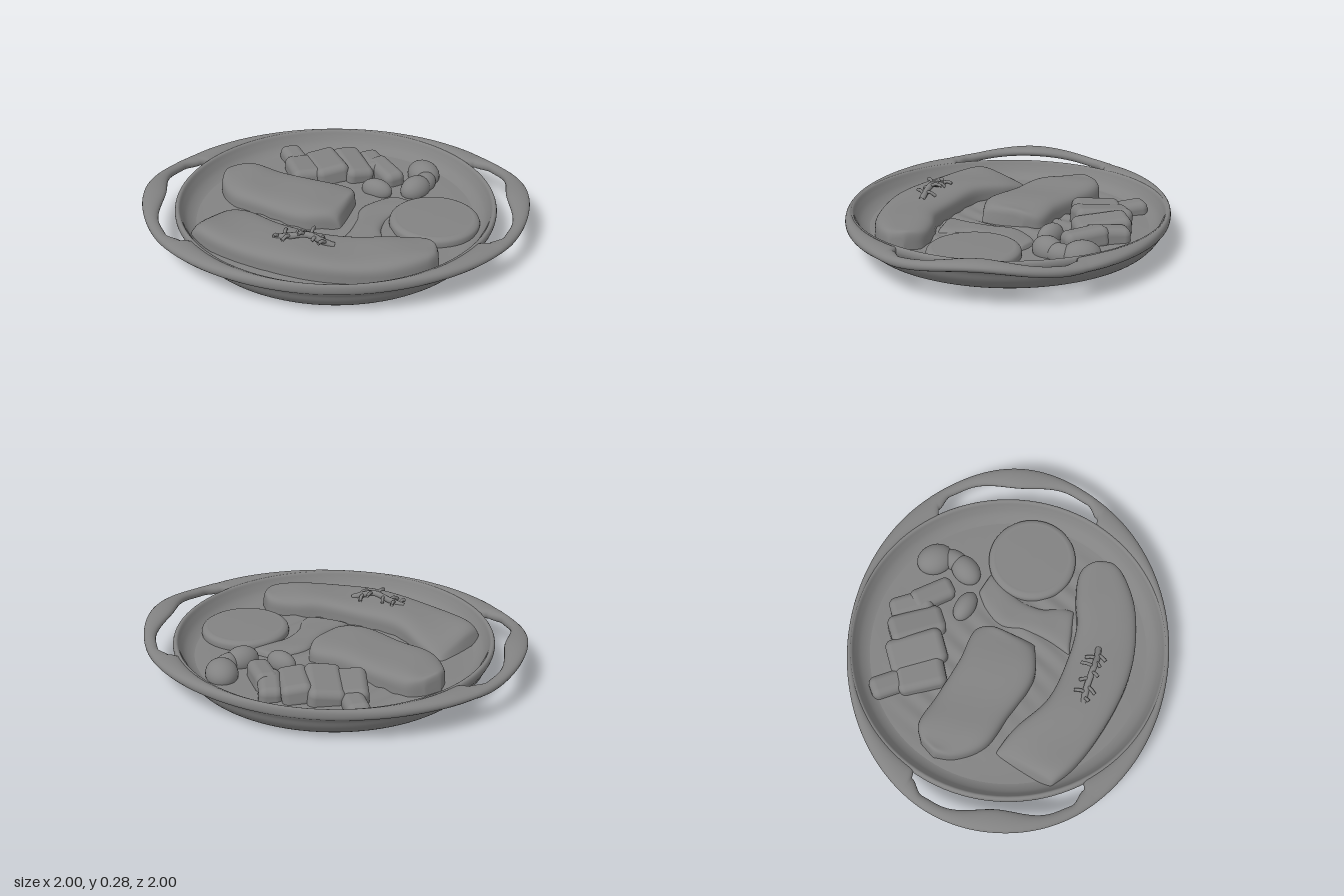
import * as THREE from 'three';
import { mergeVertices } from 'three/addons/utils/BufferGeometryUtils.js';
import { RoundedBoxGeometry } from 'three/addons/geometries/RoundedBoxGeometry.js';

const grey = new THREE.MeshStandardMaterial({ color: 0x828282, side: THREE.DoubleSide });
const V = (x, y, z) => new THREE.Vector3(x, y, z);

// Smooth surface from fn(u, v), u and v in 0..1
function surface(fn, nu, nv) {
  const pos = [], index = [];
  for (let i = 0; i <= nu; i++)
    for (let j = 0; j <= nv; j++) pos.push(...fn(i / nu, j / nv));
  for (let i = 0; i < nu; i++)
    for (let j = 0; j < nv; j++) {
      const a = i * (nv + 1) + j, b = a + nv + 1;
      index.push(a, b, a + 1, b, b + 1, a + 1);
    }
  let g = new THREE.BufferGeometry();
  g.setAttribute('position', new THREE.Float32BufferAttribute(pos, 3));
  g.setIndex(index);
  g = mergeVertices(g, 1e-5);
  g.computeVertexNormals();
  return g;
}

// Smoothstep interpolation through [position, value] keys
function keyed(keys, d) {
  for (let i = 1; i < keys.length; i++) {
    const [a, va] = keys[i - 1], [b, vb] = keys[i];
    if (d <= b) return va + (vb - va) * THREE.MathUtils.smoothstep(d, a, b);
  }
  return keys[keys.length - 1][1];
}

// Domed slab between two edges; stations are [leftX, leftZ, rightX, rightZ, leftRise, rightRise]
function slab(stations, base, height, power) {
  const left = new THREE.CatmullRomCurve3(stations.map(([x, z, , , rise = 1]) => V(x, rise, z)));
  const right = new THREE.CatmullRomCurve3(stations.map(([, , x, z, , rise = 1]) => V(x, rise, z)));
  return surface((u, v) => {
    const l = left.getPoint(u), r = right.getPoint(u);
    const c = -Math.cos(v * Math.PI), s = Math.max(0, Math.sin(v * Math.PI));
    const k = 0.5 + 0.5 * Math.sign(c) * Math.abs(c) ** 0.6;
    const end = Math.sqrt(Math.max(0, 1 - Math.abs(2 * u - 1) ** 18));
    const wave = (1 + 0.035 * Math.sin(u * 17 + k * 4)) * (l.y + (r.y - l.y) * k);
    return [l.x + (r.x - l.x) * k, base + height * end * wave * s ** power, l.z + (r.z - l.z) * k];
  }, 64, 28);
}

export function createModel() {
  const model = new THREE.Group();
  const add = (name, geometry, parent = model) => {
    const m = new THREE.Mesh(geometry, grey);
    m.name = name;
    parent.add(m);
    return m;
  };

  // Pan body: flat base, rounded wall, hollow inside
  const profile = new THREE.SplineCurve([
    [0.74, 0.002], [0.81, 0.025], [0.858, 0.075], [0.88, 0.12], [0.895, 0.145], [0.906, 0.175],
    [0.9, 0.199], [0.882, 0.2], [0.866, 0.17], [0.838, 0.13], [0.79, 0.1], [0.72, 0.088],
  ].map(p => new THREE.Vector2(...p))).getPoints(44);
  add('panBody', new THREE.LatheGeometry(
    [new THREE.Vector2(0, 0), new THREE.Vector2(0.7, 0), ...profile, new THREE.Vector2(0, 0.085)], 96));

  // Oval rim around the round pan, opened at both ends into raised loop handles with broad grips
  const inner = [[0, 0.96], [16, 1.002], [24, 0.99], [30, 0.935], [31.5, 0.885], [90, 0.88]];
  const level = [[0, 0.228], [28, 0.182], [90, 0.176]];
  const half = [[0, 0.028], [20, 0.026], [40, 0.032], [90, 0.031]];
  add('rimAndHandles', surface((u, v) => {
    const deg = u * 360, d = Math.abs(((deg + 45) % 180) - 90);
    const a = d * Math.PI / 180;
    const ro = 1 / Math.hypot(Math.cos(a) / 1.087, Math.sin(a) / 0.908), ri = keyed(inner, d);
    const t = u * Math.PI * 2, f = -v * Math.PI * 2;
    const r = (ro + ri) / 2 + (ro - ri) / 2 * Math.cos(f);
    const y = keyed(level, d) + keyed(half, d) * Math.sign(Math.sin(f)) * Math.abs(Math.sin(f)) ** 0.9;
    return [r * Math.cos(t), y, r * Math.sin(t)];
  }, 360, 20));

  // Rippled sauce floor
  add('sauce', surface((u, v) => {
    const r = u * 0.79, t = -v * Math.PI * 2, x = r * Math.cos(t), z = r * Math.sin(t);
    const fade = 1 - u ** 4;
    const y = 0.1 + fade * (0.006 * Math.sin(z * 55 + 2 * Math.sin(x * 5)) * Math.cos(x * 3) + 0.006 * Math.sin(x * 9 + z * 4));
    return [x, y, z];
  }, 60, 96));

  // Low bank of sauce between the fillets and the slice
  add('sauceFold', slab([
    [-0.08, 0.44, -0.26, 0.24], [-0.01, 0.39, -0.1, 0.2], [0.05, 0.31, 0.02, 0.14],
    [0.17, 0.25, 0.14, 0.06], [0.32, 0.24, 0.26, 0.06], [0.42, 0.23, 0.38, 0.1],
  ], 0.085, 0.04, 0.7));

  // Long curved fillet, sloping down at its back inner corner, and broad central fillet
  add('curvedFillet', slab([
    [-0.765, -0.37, -0.42, -0.475, 1.05, 0.35], [-0.77, -0.2, -0.385, -0.28, 1.04, 0.8], [-0.72, 0.06, -0.38, -0.03],
    [-0.61, 0.35, -0.28, 0.2], [-0.48, 0.54, -0.16, 0.38], [-0.29, 0.71, -0.03, 0.49],
    [-0.1, 0.79, 0.07, 0.62], [0, 0.79, 0.05, 0.74],
  ], 0.08, 0.13, 0.36));
  add('centralFillet', slab([
    [-0.21, -0.735, -0.11, -0.735], [-0.3, -0.65, -0.02, -0.68], [-0.36, -0.48, 0.04, -0.5],
    [-0.31, -0.27, 0.12, -0.26], [-0.235, -0.01, 0.2, -0.07], [-0.085, 0.13, 0.14, 0.02],
  ], 0.08, 0.125, 0.4));

  // Round vegetable slice
  const slice = new THREE.SplineCurve([
    [0.252, 0], [0.254, 0.03], [0.248, 0.05], [0.228, 0.062], [0.2, 0.063], [0.1, 0.066], [0, 0.067],
  ].map(p => new THREE.Vector2(...p))).getPoints(30);
  add('roundSlice', new THREE.LatheGeometry(slice, 56)).position.set(0.32, 0.085, 0.465);

  // Diced chunks in a staggered row: x, z, width, length, turn, top
  const chunks = new THREE.Group();
  chunks.name = 'dicedChunks';
  model.add(chunks);
  [
    [0.2, -0.48, 0.19, 0.28, -0.5, 0.18], [0.27, -0.63, 0.13, 0.26, -0.35, 0.165],
    [0.32, -0.41, 0.2, 0.33, -0.45, 0.195], [0.44, -0.31, 0.17, 0.32, -0.42, 0.19],
    [0.56, -0.25, 0.13, 0.25, -0.45, 0.18], [0.53, -0.12, 0.13, 0.26, -0.25, 0.185],
  ].forEach(([x, z, w, l, turn, top], i) => {
    const m = add('chunk', new RoundedBoxGeometry(w, top - 0.06, l, 5, 0.042), chunks);
    m.position.set(x, (top + 0.06) / 2, z);
    m.rotation.set(0.08 * (i % 2 ? 1 : -1), turn, 0.08 * (i % 3 - 1));
  });

  // Small mushroom lobes: x, z, half sizes, turn
  const lobes = new THREE.Group();
  lobes.name = 'mushrooms';
  model.add(lobes);
  [
    [0.355, -0.02, 0.058, 0.065, 0.095, 0.3], [0.525, 0.13, 0.1, 0.075, 0.075, 0],
    [0.695, 0.04, 0.09, 0.08, 0.11, -0.3], [0.62, 0.12, 0.09, 0.06, 0.06, 0.4],
  ].forEach(([x, z, a, b, c, turn]) => {
    const m = add('mushroomLobe', new THREE.SphereGeometry(1, 28, 18), lobes);
    m.scale.set(a, b, c);
    m.position.set(x, 0.118, z);
    m.rotation.y = turn;
  });

  // Herb sprig lying on the curved fillet
  const sprig = new THREE.Group();
  sprig.name = 'herbSprig';
  model.add(sprig);
  const stem = new THREE.CatmullRomCurve3([
    V(-0.54, 0.205, 0.08), V(-0.49, 0.225, 0.15), V(-0.44, 0.25, 0.24), V(-0.4, 0.225, 0.31), V(-0.36, 0.2, 0.36),
  ]);
  add('stem', new THREE.TubeGeometry(stem, 30, 0.018, 8), sprig);
  for (let i = 0; i < 9; i++) {
    const side = i % 2 ? 1 : -1, p = stem.getPoint(0.08 + i * 0.095);
    const tip = p.clone().add(V(side * (0.035 + 0.014 * (i % 3)), 0.02 - 0.012 * (i % 4), -0.02 * side - 0.02));
    const bend = p.clone().lerp(tip, 0.5).add(V(0, 0.012, 0));
    add('leaf', new THREE.TubeGeometry(new THREE.CatmullRomCurve3([p, bend, tip]), 8, 0.01, 6), sprig);
  }
  return model;
}
